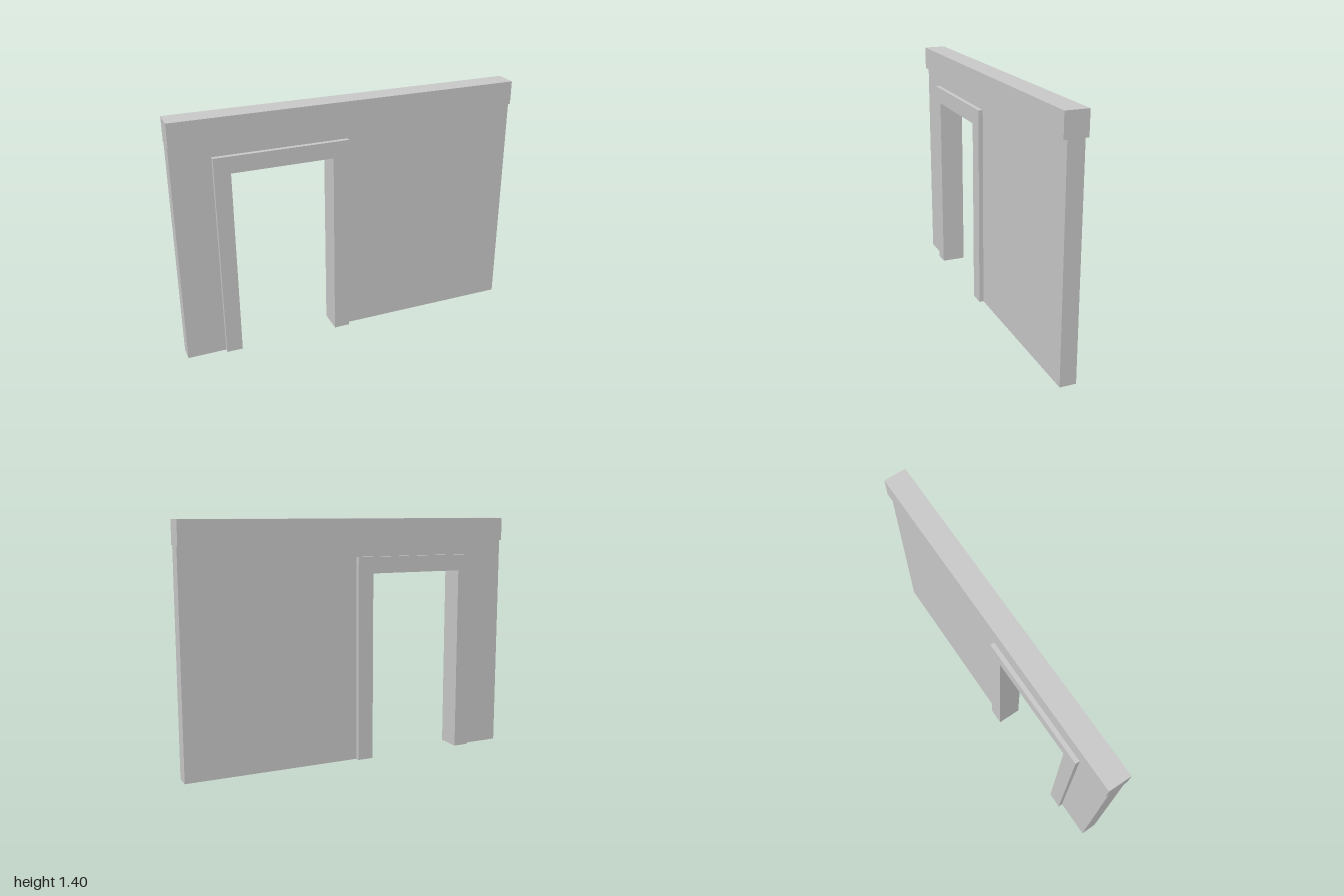
import * as THREE from 'three';

const HALF_WIDTH = 1, HEIGHT = 1.4, CAP_BOTTOM = 1.266;
const WALL_DEPTH = 0.092, CAP_DEPTH = 0.13, FRAME_DEPTH = 0.144;
const OUTER = { left: -0.78, right: -0.022, top: 1.185 };
const OPENING = { left: -0.689, right: -0.115, top: 1.09 };

const material = new THREE.MeshStandardMaterial({ color: 0xcccccc, flatShading: true });

// Upright slab with a doorway notch cut up from the ground, centred on z = 0
function archSlab(name, x0, x1, top, notch, depth) {
  const shape = new THREE.Shape([
    [x0, 0], [notch.left, 0], [notch.left, notch.top], [notch.right, notch.top],
    [notch.right, 0], [x1, 0], [x1, top], [x0, top],
  ].map(([x, y]) => new THREE.Vector2(x, y)));
  const geometry = new THREE.ExtrudeGeometry(shape, { depth, bevelEnabled: false });
  geometry.translate(0, 0, -depth / 2);
  const mesh = new THREE.Mesh(geometry, material);
  mesh.name = name;
  return mesh;
}

export function createModel() {
  const group = new THREE.Group();
  group.name = 'doorwayWall';

  // Wall panel, cut to receive the door frame
  group.add(archSlab('wall', -HALF_WIDTH, HALF_WIDTH, CAP_BOTTOM, OUTER, WALL_DEPTH));

  // Door frame, standing proud of the wall on both sides
  group.add(archSlab('doorFrame', OUTER.left, OUTER.right, OUTER.top, OPENING, FRAME_DEPTH));

  // Beam along the top of the wall
  const capHeight = HEIGHT - CAP_BOTTOM;
  const cap = new THREE.Mesh(new THREE.BoxGeometry(2 * HALF_WIDTH, capHeight, CAP_DEPTH), material);
  cap.name = 'topBeam';
  cap.position.y = CAP_BOTTOM + capHeight / 2;
  group.add(cap);

  return group;
}
